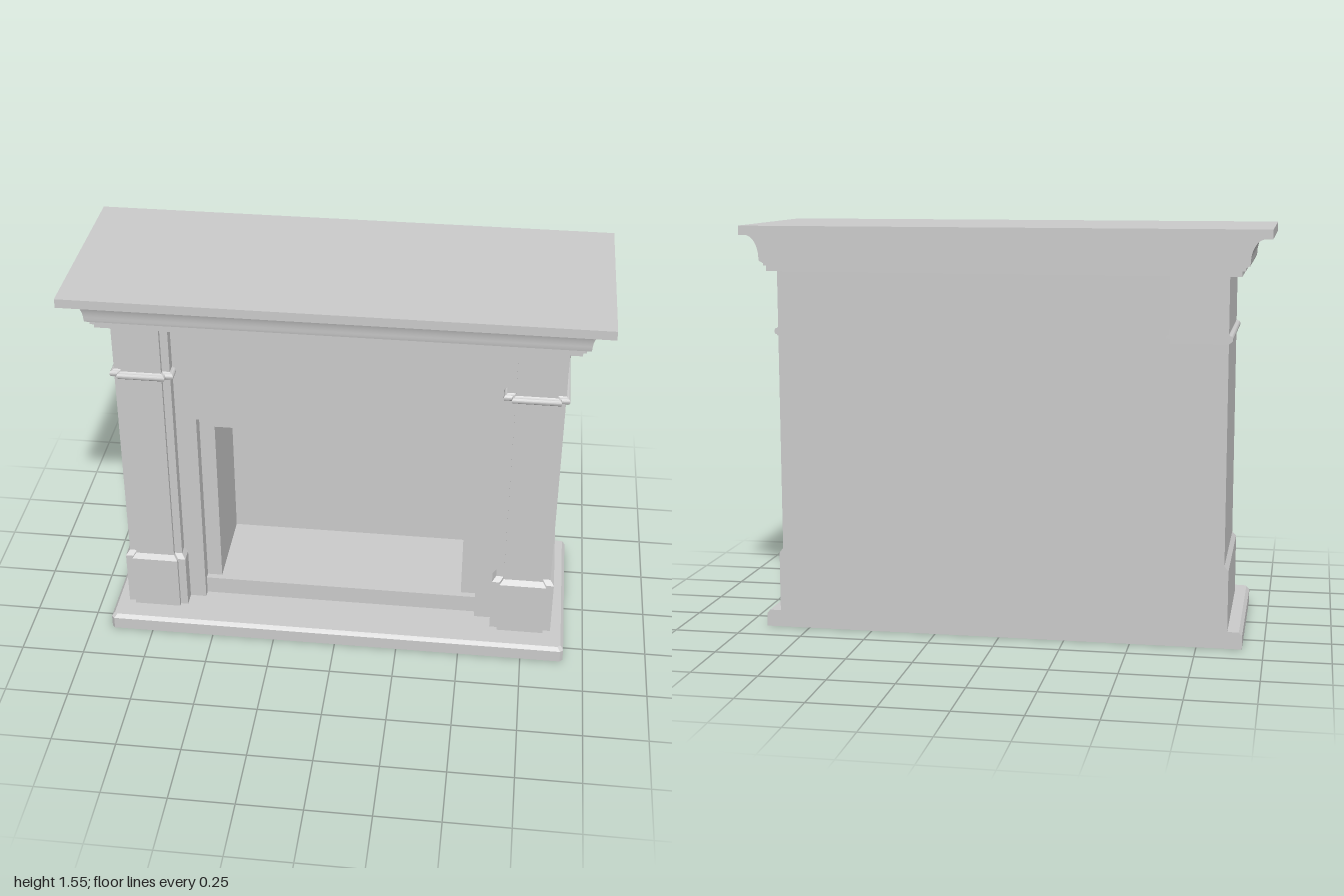
import * as THREE from 'three';
import { toCreasedNormals } from 'three/addons/utils/BufferGeometryUtils.js';

const BACK = -0.38;
const material = new THREE.MeshStandardMaterial({ color: 0xcccccc });

// Closed solid through horizontal sections; each level is [y, offset],
// section(offset) returns [x, z] points counter-clockwise seen from above.
function loft(section, levels) {
  const rings = levels.map(([y, o]) => section(o).map(([x, z]) => [x, y, z]));
  const n = rings[0].length;
  const pos = [];
  for (let i = 0; i < rings.length - 1; i++) {
    for (let j = 0; j < n; j++) {
      const a = rings[i][j], b = rings[i][(j + 1) % n];
      const c = rings[i + 1][(j + 1) % n], d = rings[i + 1][j];
      pos.push(...a, ...b, ...c, ...a, ...c, ...d);
    }
  }
  const cap = (ring, flip) => {
    const flat = ring.map(([x, , z]) => new THREE.Vector2(x, -z));
    for (const [a, b, c] of THREE.ShapeUtils.triangulateShape(flat, [])) {
      pos.push(...ring[a], ...ring[flip ? c : b], ...ring[flip ? b : c]);
    }
  };
  cap(rings[0], true);
  cap(rings[rings.length - 1], false);
  const geo = new THREE.BufferGeometry();
  geo.setAttribute('position', new THREE.Float32BufferAttribute(pos, 3));
  return toCreasedNormals(geo, 0.5);
}

function extrude(points, depth) {
  const shape = new THREE.Shape(points.map(([x, y]) => new THREE.Vector2(x, y)));
  return new THREE.ExtrudeGeometry(shape, { depth, bevelEnabled: false });
}

function box(x0, x1, y0, y1, z0, z1) {
  return new THREE.BoxGeometry(x1 - x0, y1 - y0, z1 - z0)
    .translate((x0 + x1) / 2, (y0 + y1) / 2, (z0 + z1) / 2);
}

export function createModel() {
  const group = new THREE.Group();
  const add = (name, geo) => {
    const mesh = new THREE.Mesh(geo, material);
    mesh.name = name;
    group.add(mesh);
  };

  // Hearth slab with chamfered top edge and front corners
  const c = 0.012;
  const slab = (o) => {
    const x = 0.92 + o, z = 0.335 + o;
    return [[x - c, z], [x, z - c], [x, BACK], [-x, BACK], [-x, z - c], [-x + c, z]];
  };
  add('hearthSlab', loft(slab, [[0, 0], [0.05, 0], [0.065, -0.012]]));

  // Pilasters: stepped corners, wider plinth, and a rounded band
  const pilaster = (o) => {
    const f = 0.23 + o, s = 0.213 + o;
    return [
      [0.82 + o, f], [0.82 + o, s], [0.85 + o, s], [0.85 + o, BACK],
      [0.635 - o, BACK], [0.635 - o, s], [0.665 - o, s], [0.665 - o, f],
    ];
  };
  const mirrored = (o) => pilaster(o).map(([x, z]) => [-x, z]).reverse();
  const levels = [[0.065, 0.015], [0.295, 0.015], [0.315, 0], [1.14, 0], [1.143, 0.006]];
  for (let i = 0; i <= 8; i++) {
    const a = -Math.PI / 2 + (i / 8) * Math.PI;
    levels.push([1.158 + 0.012 * Math.sin(a), 0.006 + 0.009 * Math.cos(a)]);
  }
  levels.push([1.175, 0], [1.385, 0]);
  add('leftPilaster', loft(pilaster, levels));
  add('rightPilaster', loft(mirrored, levels));

  // Front panel around the recessed firebox surround
  add('frontPanel', extrude([
    [-0.635, 0.065], [-0.555, 0.065], [-0.555, 0.94], [0.555, 0.94],
    [0.555, 0.065], [0.635, 0.065], [0.635, 1.385], [-0.635, 1.385],
  ], 0.055).translate(0, 0, 0.115));

  // Firebox core: floor, back and sloping ceiling, swept across the width
  add('firebox', extrude([
    [0.38, 0.065], [0.38, 1.385], [-0.115, 1.385], [-0.115, 0.875],
    [0.24, 0.79], [0.24, 0.14], [-0.115, 0.14], [-0.115, 0.065],
  ], 0.99).rotateY(Math.PI / 2).translate(-0.495, 0, 0));
  for (const [name, x] of [['leftFireboxSide', 0.495], ['rightFireboxSide', -0.635]]) {
    add(name, box(x, x + 0.14, 0.065, 1.385, BACK, 0.115));
  }
  add('fireboxSill', box(-0.555, 0.555, 0.065, 0.14, 0.1, 0.14));

  // Mantel: stepped moulding, cove and shelf
  const mantel = (w) => [[w, w - 0.62], [w, BACK], [-w, BACK], [-w, w - 0.62]];
  const profile = [
    [1.385, 0.893], [1.405, 0.893], [1.405, 0.905], [1.415, 0.905], [1.423, 0.92], [1.432, 0.922],
  ];
  for (let i = 1; i <= 12; i++) {
    const a = (i / 12) * Math.PI / 2;
    profile.push([1.432 + 0.088 * Math.sin(a), 0.922 + 0.053 * (1 - Math.cos(a))]);
  }
  add('mantelMoulding', loft(mantel, profile));
  add('mantelShelf', box(-1, 1, 1.52, 1.555, BACK, 0.38));

  return group;
}
